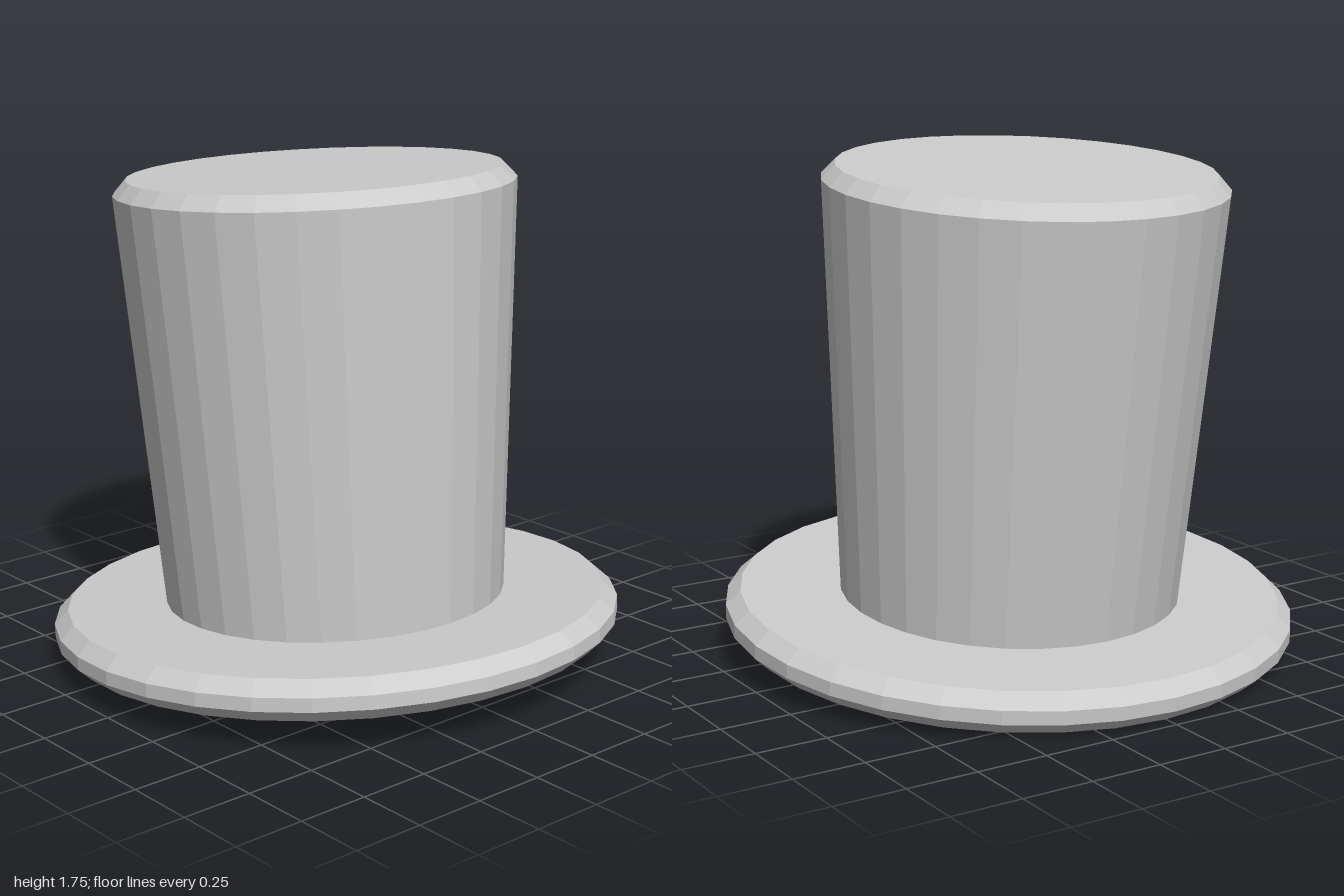
import * as THREE from 'three';

const SIDES = 32;

export function createModel() {
  const felt = new THREE.MeshStandardMaterial({ color: 0xcccccc });
  felt.name = 'greyFelt';

  // Faceted surface of revolution; profile points are [radius, height]
  const turned = (name, profile) => {
    const points = profile.map(([r, y]) => new THREE.Vector2(r, y));
    const geometry = new THREE.LatheGeometry(points, SIDES).toNonIndexed();
    geometry.computeVertexNormals();
    const mesh = new THREE.Mesh(geometry, felt);
    mesh.name = name;
    return mesh;
  };

  const hat = new THREE.Group();
  hat.name = 'topHat';
  hat.add(
    // Bevelled brim, its underside rising slightly to the head opening
    turned('brim', [[0.49, 0.04], [0.95, 0], [1, 0.047], [1, 0.095], [0.95, 0.142], [0.6, 0.142]]),
    // Flared crown with a bevelled top edge
    turned('crown', [[0.6, 0.142], [0.694, 1.592], [0.648, 1.642], [0, 1.642]]),
    // Hollow inside of the crown
    turned('lining', [[0, 1.5], [0.58, 1.5], [0.49, 0.04]]),
  );

  // The hat leans back, its front edge raised
  hat.rotation.x = THREE.MathUtils.degToRad(-4.2);
  hat.position.set(0, 0.07, 0.005);

  const model = new THREE.Group();
  model.name = 'model';
  model.add(hat);
  return model;
}
